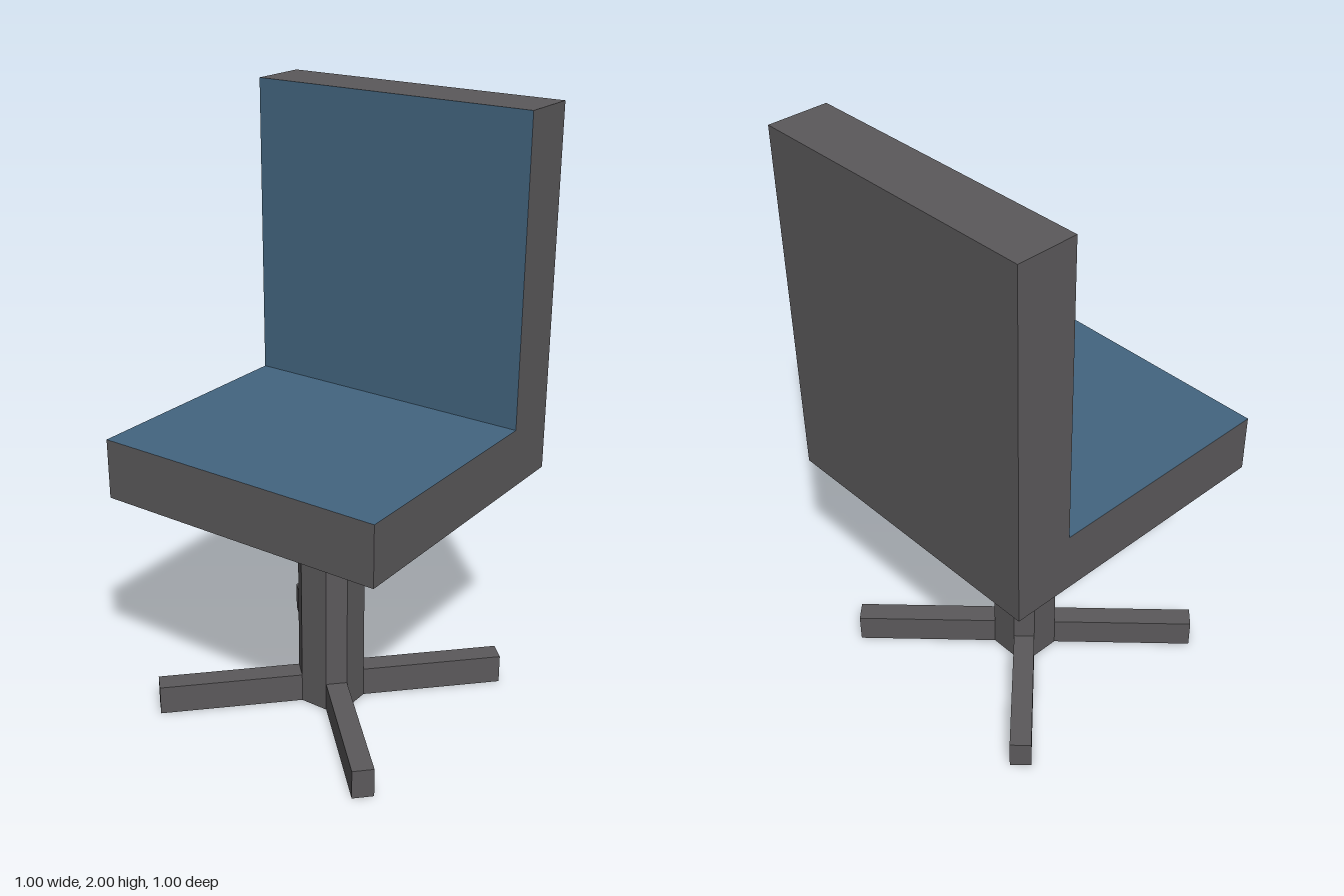
import * as THREE from 'three';

export function createModel() {
  const frame = new THREE.MeshStandardMaterial({ color: 0x5b595b });
  frame.name = 'dark grey frame';
  const fabric = new THREE.MeshStandardMaterial({ color: 0x436580 });
  fabric.name = 'blue upholstery';

  const model = new THREE.Group();
  model.name = 'swivelChair';

  const addMesh = (name, geometry, material, x, y, z, parent = model) => {
    const mesh = new THREE.Mesh(geometry, material);
    mesh.name = name;
    mesh.position.set(x, y, z);
    parent.add(mesh);
    return mesh;
  };

  // Box faces run +x, -x, +y, -y, +z, -z; one of them is upholstered
  const upholstered = (face) =>
    Array.from({ length: 6 }, (_, i) => (i === face ? fabric : frame));

  // Seat slab with blue top, backrest with blue front
  addMesh('seat', new THREE.BoxGeometry(1, 0.2, 0.8), upholstered(2), 0, 0.9, 0.1);
  addMesh('backrest', new THREE.BoxGeometry(1, 1.2, 0.2), upholstered(4), 0, 1.4, -0.4);

  // Column: a square post with chamfered corners
  const a = 0.1, b = 0.05;
  const section = new THREE.Shape([
    [a, -b], [a, b], [b, a], [-b, a], [-a, b], [-a, -b], [-b, -a], [b, -a],
  ].map(([x, y]) => new THREE.Vector2(x, y)));
  const columnGeometry = new THREE.ExtrudeGeometry(section, { depth: 0.8, bevelEnabled: false });
  columnGeometry.rotateX(-Math.PI / 2);
  addMesh('column', columnGeometry, frame, 0, 0, 0);

  // Four diagonal feet growing out of the chamfers
  const start = 0.075 * Math.SQRT2, end = 0.415 * Math.SQRT2;
  const footGeometry = new THREE.BoxGeometry(end - start, 0.1, b * Math.SQRT2);
  footGeometry.translate((start + end) / 2, 0.05, 0);
  const base = new THREE.Group();
  base.name = 'base';
  model.add(base);
  for (let i = 0; i < 4; i++) {
    const foot = addMesh('foot', footGeometry, frame, 0, 0, 0, base);
    foot.rotation.y = Math.PI / 4 + i * Math.PI / 2;
  }

  return model;
}
